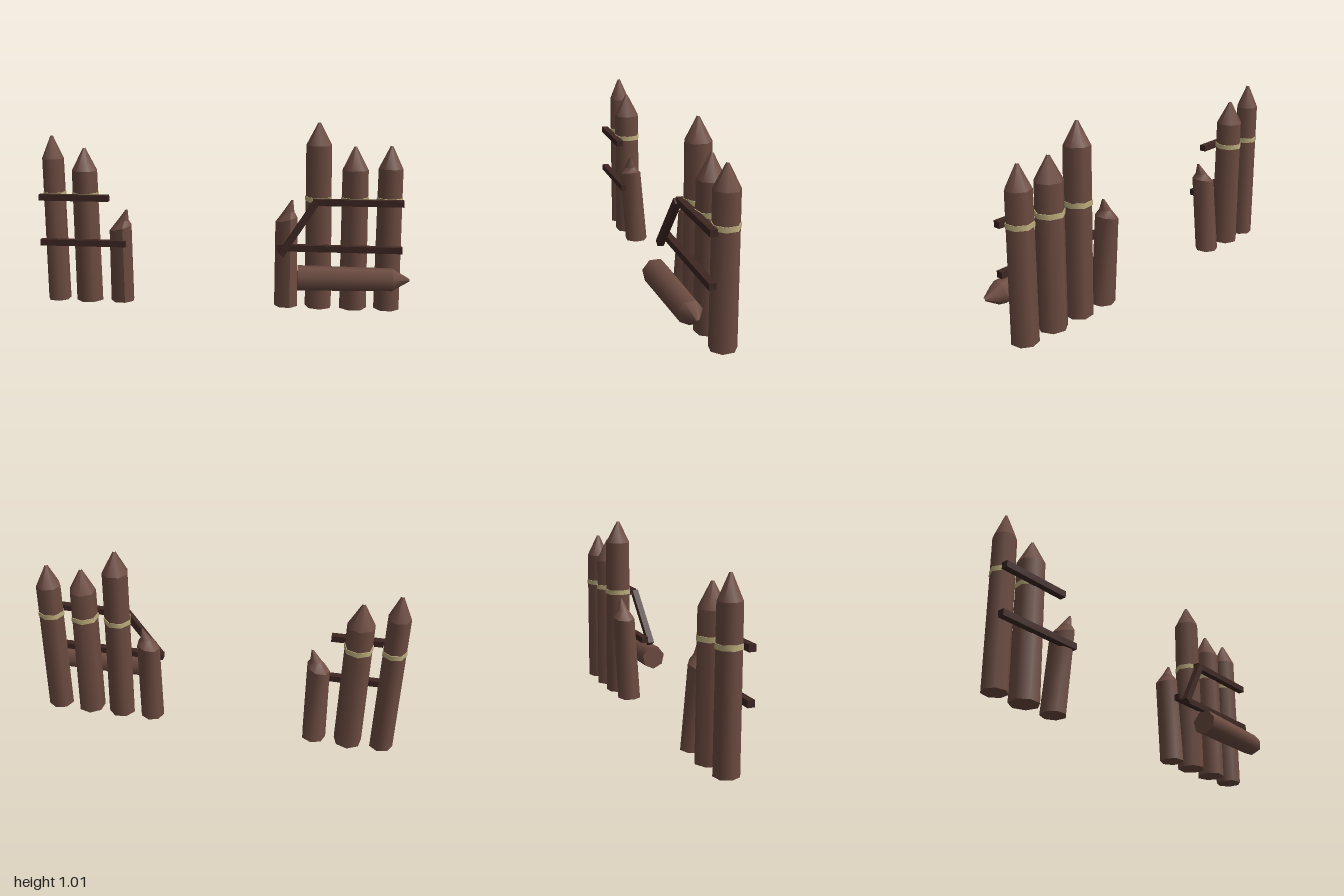
import * as THREE from 'three';
import { mergeGeometries } from 'three/addons/utils/BufferGeometryUtils.js';

const SIDES = 7;

export function createModel() {
  const model = new THREE.Group();
  model.name = 'brokenPalisade';

  const mat = (name, color) => {
    const m = new THREE.MeshStandardMaterial({ color });
    m.name = name;
    return m;
  };
  const wood = mat('brown wood', 0x6d4c41);
  const darkWood = mat('dark wood', 0x3e2723);
  const rope = mat('tan rope', 0xc2b280);

  const add = (parent, name, geometry, material) => {
    const mesh = new THREE.Mesh(geometry, material);
    mesh.name = name;
    parent.add(mesh);
    return mesh;
  };

  // Stacked frustums: each ring is [radius, y]; the foot is capped, the tip is tiny
  const logGeometry = (rings, turn = 0) => {
    const parts = [];
    for (let i = 1; i < rings.length; i++) {
      const [r0, y0] = rings[i - 1], [r1, y1] = rings[i];
      const g = new THREE.CylinderGeometry(r1, r0, y1 - y0, SIDES, 1, i > 1);
      g.translate(0, (y0 + y1) / 2, 0);
      parts.push(g);
    }
    return mergeGeometries(parts).rotateY(turn);
  };

  // Lean a standing log without lifting its foot
  const lean = (g, lx, lz) =>
    g.applyMatrix4(new THREE.Matrix4().makeShear(0, 0, lx, lz, 0, 0));

  // Whole stakes, each tied with a rope band
  const stakes = [
    { x: -0.931, r: 0.064, shoulder: 0.80, tip: 0.925, lx: -0.014, turn: 0.2 },
    { x: -0.752, r: 0.076, shoulder: 0.735, tip: 0.86, lx: -0.014, turn: 0.5 },
    { x: 0.53, r: 0.074, shoulder: 0.89, tip: 1.01, lx: -0.014, turn: 0.1 },
    { x: 0.715, r: 0.076, shoulder: 0.76, tip: 0.885, lx: -0.008, turn: 0.6 },
    { x: 0.9, r: 0.07, shoulder: 0.77, tip: 0.89, lx: -0.002, turn: 0.3 },
  ];
  for (const s of stakes) {
    const group = new THREE.Group();
    group.name = 'stake';
    group.position.set(s.x, 0, -0.078);
    const body = logGeometry([[s.r, 0], [s.r * 0.95, s.shoulder], [0.007, s.tip]], s.turn);
    add(group, 'stakeBody', lean(body, s.lx, 0), wood);
    const band = new THREE.CylinderGeometry(s.r + 0.001, s.r + 0.001, 0.026, SIDES);
    band.rotateY(s.turn).translate(0, 0.602, 0);
    add(group, 'ropeBand', lean(band, s.lx, 0), rope);
    model.add(group);
  }

  // Snapped stakes with an off-centre splinter
  const snapped = [
    { x: -0.565, r: 0.066, shoulder: 0.425, tip: 0.53, shift: 0.036, lx: 0.01, lz: 0.085 },
    { x: 0.352, r: 0.065, shoulder: 0.48, tip: 0.585, shift: 0.03, lx: -0.006, lz: -0.06 },
  ];
  for (const s of snapped) {
    const g = logGeometry(
      [[s.r, 0], [s.r * 0.95, s.shoulder], [s.r * 0.48, s.shoulder + 0.042], [0.005, s.tip]], 0.35);
    const p = g.attributes.position;
    for (let i = 0; i < p.count; i++) {
      const t = Math.max(0, (p.getY(i) - s.shoulder) / (s.tip - s.shoulder));
      p.setX(i, p.getX(i) + s.shift * t);
      // slanted break: the side under the splinter stands higher
      if (Math.abs(p.getY(i) - s.shoulder) < 0.001) p.setY(i, p.getY(i) + p.getX(i) * 0.25);
    }
    g.computeVertexNormals();
    add(model, 'snappedStake', lean(g, s.lx, s.lz), wood).position.set(s.x, 0, -0.078);
  }

  // Cross rails: [x start, x end, y]
  const rails = [[-1, -0.615, 0.596], [-1, -0.525, 0.345], [0.49, 0.965, 0.596], [0.3, 0.965, 0.345]];
  for (const [x0, x1, y] of rails) {
    add(model, 'rail', new THREE.BoxGeometry(x1 - x0, 0.034, 0.036), darkWood)
      .position.set((x0 + x1) / 2, y, 0.004);
  }

  // Broken rail hanging diagonally
  const low = new THREE.Vector3(0.324, 0.315, 0.047);
  const high = new THREE.Vector3(0.506, 0.597, 0.016);
  const hanging = add(model, 'hangingRail',
    new THREE.BoxGeometry(0.036, low.distanceTo(high), 0.034), darkWood);
  hanging.position.copy(low).lerp(high, 0.5);
  hanging.quaternion.setFromUnitVectors(
    new THREE.Vector3(0, 1, 0), high.clone().sub(low).normalize());

  // Fallen stake lying in front
  const fallen = add(model, 'fallenStake',
    logGeometry([[0.069, 0], [0.062, 0.495], [0.007, 0.585]], Math.PI / 2), wood);
  fallen.position.set(0.415, 0.205, 0.1);
  fallen.rotation.set(0, 0.026, -Math.PI / 2, 'YXZ');

  return model;
}
